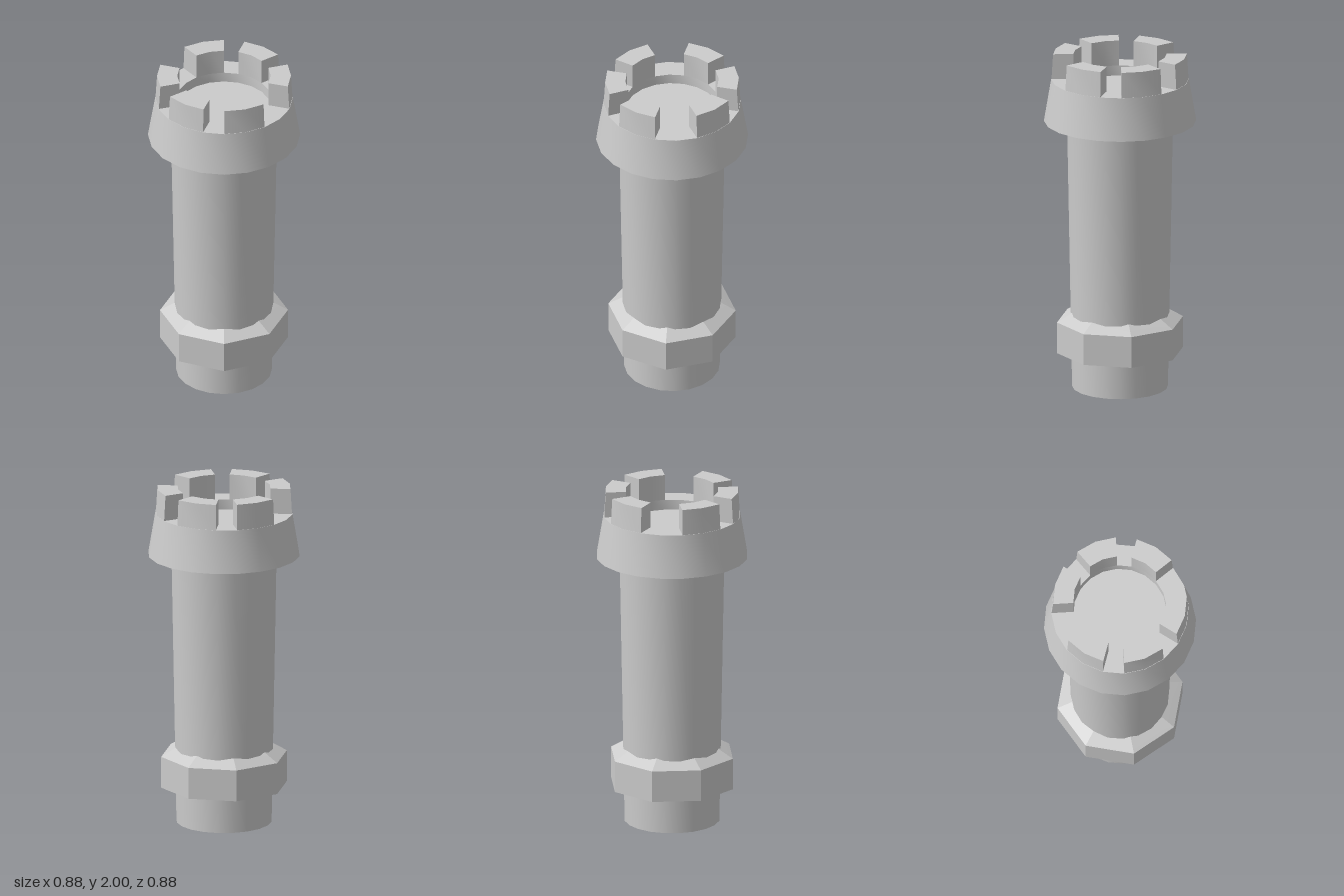
import * as THREE from 'three';
import { toCreasedNormals, mergeGeometries } from 'three/addons/utils/BufferGeometryUtils.js';

const SIDES = 20;
const material = new THREE.MeshStandardMaterial({ color: 0xcccccc, side: THREE.DoubleSide });
const rad = THREE.MathUtils.degToRad;
const toPoints = (pairs) => pairs.map(([r, y]) => new THREE.Vector2(r, y));

// Revolved profile with crisp edges, faceted rounds staying smooth below the crease angle
function turned(pairs, sides, crease = 0.5, start = 0, sweep = Math.PI * 2) {
  const lathe = new THREE.LatheGeometry(toPoints(pairs), sides, start, sweep);
  return toCreasedNormals(lathe, crease);
}

function addPart(group, name, geometry) {
  const mesh = new THREE.Mesh(geometry, material);
  mesh.name = name;
  group.add(mesh);
}

// Curved battlement block: closed profile swept over 36 degrees, plus two end walls
function merlonGeometry(startDegrees) {
  const profile = [[0.27, 1.85], [0.396, 1.85], [0.387, 2], [0.27, 2]];
  const start = rad(startDegrees), sweep = rad(36);
  const body = turned([...profile, profile[0]], 2, 0.5, start, sweep);
  const ends = [start, start + sweep].map((angle) =>
    new THREE.ShapeGeometry(new THREE.Shape(toPoints(profile)))
      .rotateY(angle - Math.PI / 2).toNonIndexed());
  return mergeGeometries([body, ...ends]);
}

export function createModel() {
  const tower = new THREE.Group();
  tower.name = 'tower';

  // Slightly flaring shaft that also forms the foot
  addPart(tower, 'shaft', turned([[0, 0], [0.277, 0], [0.306, 1.6]], SIDES));

  // Octagonal collar with a sloped top running into the shaft
  addPart(tower, 'collar', turned(
    [[0.2, 0.215], [0.37, 0.215], [0.37, 0.4], [0.285, 0.45], [0.2, 0.497]], 8, 0.3));

  // Flared head with a shallow recess in its top
  addPart(tower, 'head', turned(
    [[0, 1.6], [0.44, 1.6], [0.398, 1.85], [0.27, 1.85], [0.27, 1.79], [0, 1.79]], SIDES));

  // Unevenly spaced battlements
  const battlements = new THREE.Group();
  battlements.name = 'battlements';
  for (const start of [0, 72, 126, 180, 252, 306]) {
    addPart(battlements, 'merlon', merlonGeometry(start));
  }
  tower.add(battlements);
  return tower;
}
